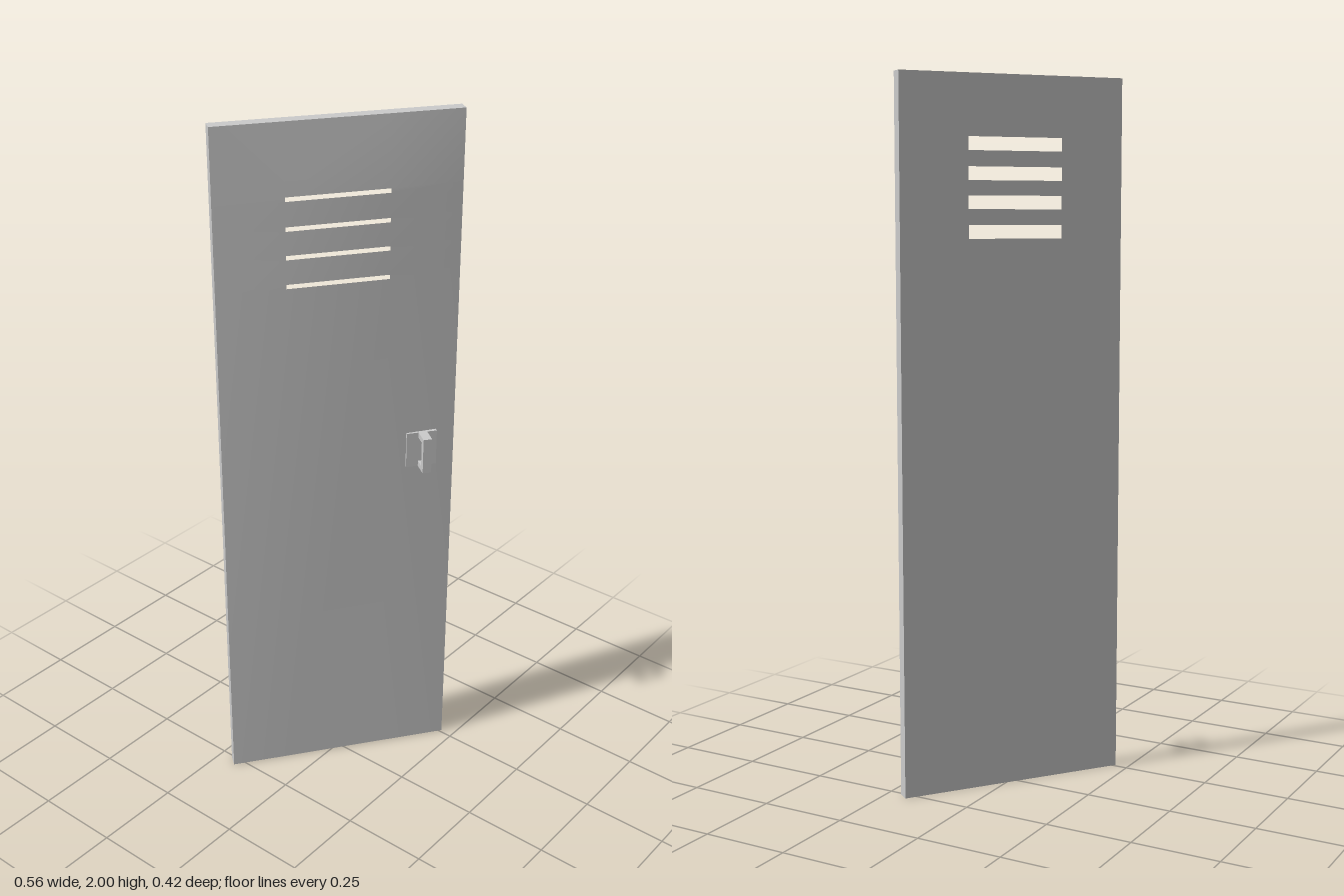
import * as THREE from 'three';
import { toCreasedNormals } from 'three/addons/utils/BufferGeometryUtils.js';

const W = 0.333, T = 0.0175, H = 2;      // half width, half thickness, height
const LIP = 0.029;                       // how far the vent area swells forward
const COLS = [-W, -0.146, 0.134, W];
const SLOTS = [1.557, 1.637, 1.715, 1.795];

export function createModel() {
  const material = new THREE.MeshStandardMaterial({ color: 0xcccccc });
  const model = new THREE.Group();
  model.name = 'lockerDoor';

  // door leaf: two pierced skins, vent tunnels and a rim
  const pos = [];
  const tri = (...p) => p.forEach(v => pos.push(...v));
  const quad = (a, b, c, d) => tri(a, b, c, a, c, d);

  function skin(slotHeight, front) {
    const rows = [0, ...SLOTS.flatMap(y => [y, y + slotHeight]), H];
    const last = rows.length - 1;
    const point = (i, j) => {
      const inside = i > 0 && i < 3 && j > 0 && j < last;
      return [COLS[i], rows[j], front ? (inside ? LIP : T) : -T];
    };
    for (let i = 0; i < 3; i++) for (let j = 0; j < last; j++) {
      if (i === 1 && j % 2 === 1) continue;          // vent opening
      const a = point(i, j), b = point(i + 1, j), c = point(i + 1, j + 1), d = point(i, j + 1);
      const turned = (i === 0 && j === last - 1) || (i === 2 && j === 0);
      if (!front) quad(b, a, d, c);
      else if (turned) quad(b, c, d, a);             // fold runs out to the door corner
      else quad(a, b, c, d);
    }
  }
  const FRONT_SLOT = 0.012, BACK_SLOT = 0.037;
  skin(FRONT_SLOT, true);
  skin(BACK_SLOT, false);

  // vent tunnels: flat floor, roof sloping down to the front
  for (const y of SLOTS) {
    const ring = (z, h) => [[COLS[1], y, z], [COLS[2], y, z], [COLS[2], y + h, z], [COLS[1], y + h, z]];
    const f = ring(LIP, FRONT_SLOT), b = ring(-T, BACK_SLOT);
    for (let k = 0; k < 4; k++) {
      const n = (k + 1) % 4;
      quad(f[n], f[k], b[k], b[n]);
    }
  }

  // outer rim
  const rim = z => [[-W, 0, z], [W, 0, z], [W, H, z], [-W, H, z]];
  const f = rim(T), b = rim(-T);
  for (let k = 0; k < 4; k++) {
    const n = (k + 1) % 4;
    quad(f[k], b[k], b[n], f[n]);
  }

  const geometry = new THREE.BufferGeometry();
  geometry.setAttribute('position', new THREE.Float32BufferAttribute(pos, 3));
  const door = new THREE.Mesh(toCreasedNormals(geometry, Math.PI / 6), material);
  door.name = 'ventedDoor';
  model.add(door);

  // handle: backing plate, two arms and a grip bar
  const handle = new THREE.Group();
  handle.name = 'handle';
  const block = (name, w, h, d, x, y, z) => {
    const mesh = new THREE.Mesh(new THREE.BoxGeometry(w, h, d), material);
    mesh.name = name;
    mesh.position.set(x, y, z);
    handle.add(mesh);
  };
  block('backingPlate', 0.088, 0.106, 0.018, 0.235, 1.033, 0.022);
  for (const s of [-1, 1]) block('handleArm', 0.025, 0.016, 0.036, 0.238, 1.033 + s * 0.045, 0.046);
  block('gripBar', 0.025, 0.106, 0.016, 0.238, 1.033, 0.07);
  model.add(handle);

  // the door stands ajar
  model.rotation.y = -THREE.MathUtils.degToRad(36.4);
  const root = new THREE.Group();
  root.name = 'openLockerDoor';
  root.add(model);
  return root;
}
